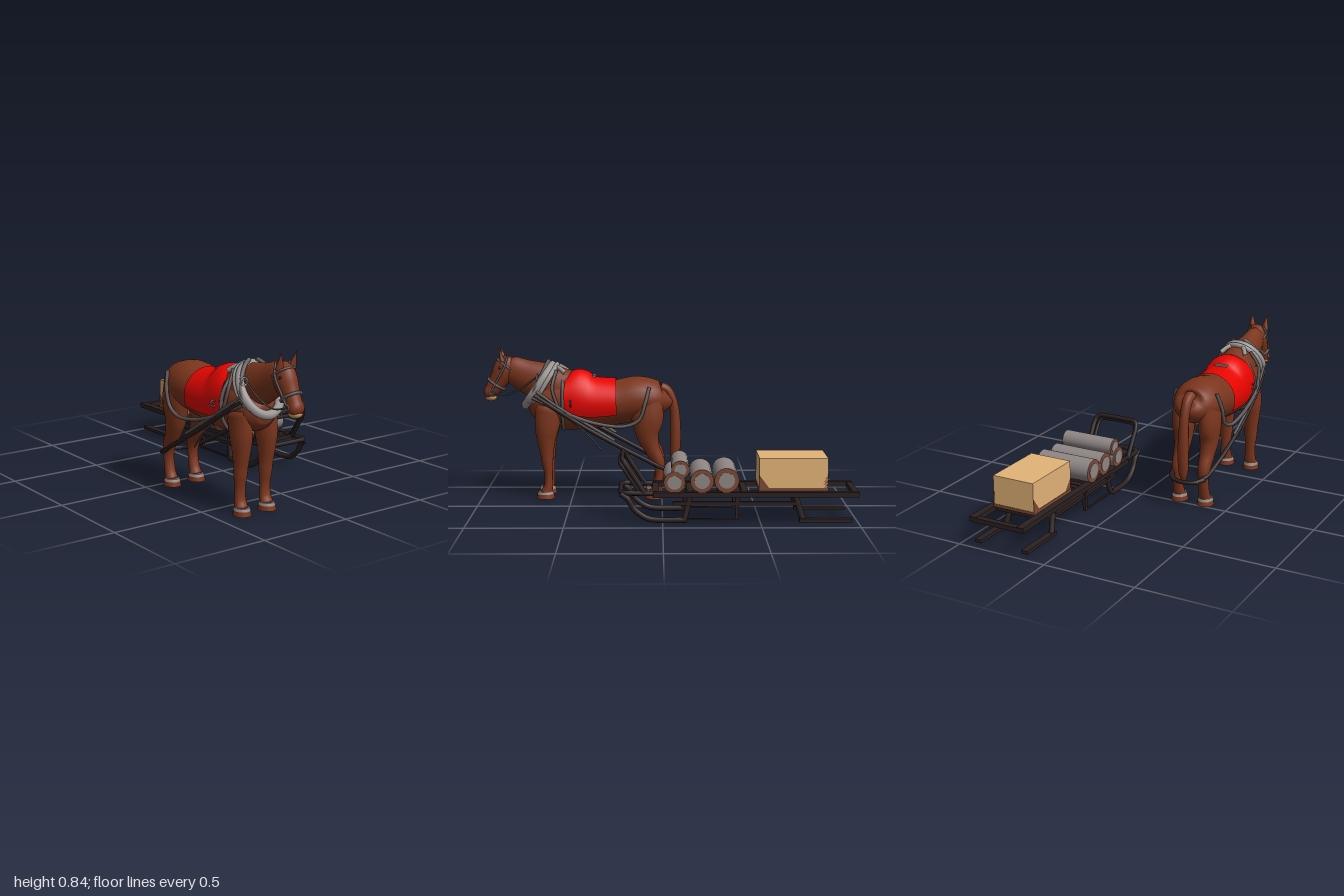
import * as THREE from 'three';

const mat = (name, color, side = THREE.FrontSide) => {
  const m = new THREE.MeshStandardMaterial({ color, side });
  m.name = name;
  return m;
};
const M = {
  coat: mat('chestnut coat', 0x7b351d),
  hoof: mat('hoof grey', 0x8a8280),
  tan: mat('pale muzzle', 0xc09058),
  red: mat('red blanket', 0xe60400, THREE.DoubleSide),
  collar: mat('collar grey', 0x9c9694),
  strap: mat('strap grey', 0x605857),
  dark: mat('dark wood', 0x2b2020),
  log: mat('log grey', 0x8f8786),
  rust: mat('rusty brown', 0x7d4a38),
  crate: mat('crate tan', 0xe4b478),
};

function add(parent, name, geo, material, x = 0, y = 0, z = 0) {
  const m = new THREE.Mesh(geo, material);
  m.name = name;
  m.position.set(x, y, z);
  parent.add(m);
  return m;
}

const box = (p, name, material, w, h, d, x, y, z) =>
  add(p, name, new THREE.BoxGeometry(w, h, d), material, x, y, z);

function tube(p, name, material, pts, r, closed = false, sides = 8) {
  const c = new THREE.CatmullRomCurve3(pts.map(a => new THREE.Vector3(...a)), closed, 'centripetal');
  return add(p, name, new THREE.TubeGeometry(c, pts.length * 6, r, sides, closed), material);
}

// Elliptical loop around the body: dy, dz is one half axis, w the other along x
function ring(p, name, material, y, z, dy, dz, w, r) {
  const pts = [];
  for (let i = 0; i < 12; i++) {
    const a = i / 12 * Math.PI * 2, c = Math.cos(a);
    pts.push([Math.sin(a) * w, y + dy * c, z + dz * c]);
  }
  return tube(p, name, material, pts, r, true);
}

// Smooth loft; stations are [y, z, half depth, half width]; an arc gives an open sheet
function loft(st, x = 0, arc = null, seg = 24) {
  const path = new THREE.CatmullRomCurve3(st.map(s => new THREE.Vector3(x, s[0], s[1])), false, 'catmullrom', 0.5);
  const size = new THREE.CatmullRomCurve3(st.map(s => new THREE.Vector3(s[2], s[3], 0)), false, 'catmullrom', 0.5);
  const n = (st.length - 1) * 4, cols = arc ? seg + 1 : seg, pos = [], idx = [];
  const [t0, t1] = arc || [0, Math.PI * 2];
  for (let i = 0; i <= n; i++) {
    const c = path.getPoint(i / n), s = size.getPoint(i / n), t = path.getTangent(i / n);
    for (let j = 0; j < cols; j++) {
      const a = t0 + (t1 - t0) * j / seg, u = Math.sin(a) * s.x;
      pos.push(c.x + Math.cos(a) * s.y, c.y - t.z * u, c.z + t.y * u);
    }
  }
  for (let i = 0; i < n; i++) for (let j = 0; j < seg; j++) {
    const k = (j + 1) % cols, a = i * cols, b = a + cols;
    idx.push(a + j, b + j, a + k, a + k, b + j, b + k);
  }
  if (!arc) {
    const first = pos.length / 3, e = n * cols;
    for (const t of [0, 1]) pos.push(...path.getPoint(t).toArray());
    for (let j = 0; j < seg; j++) {
      const k = (j + 1) % seg;
      idx.push(first, j, k, first + 1, e + k, e + j);
    }
  }
  const g = new THREE.BufferGeometry();
  g.setAttribute('position', new THREE.Float32BufferAttribute(pos, 3));
  g.setIndex(idx);
  g.computeVertexNormals();
  return g;
}

function ellipsoid(p, name, material, x, y, z, rx, ry, rz) {
  return add(p, name, new THREE.SphereGeometry(1, 16, 12), material, x, y, z).scale.set(rx, ry, rz);
}

function buildHorse() {
  const g = new THREE.Group();
  g.name = 'horse';
  add(g, 'body', loft([
    [.58, -.03, .03, .04], [.565, -.01, .08, .085], [.555, .05, .108, .122], [.55, .14, .125, .136],
    [.53, .25, .125, .133], [.52, .4, .14, .13], [.53, .52, .155, .124], [.53, .62, .128, .118],
    [.515, .69, .1, .1], [.51, .735, .045, .055]]), M.coat);
  add(g, 'neck', loft([[.58, .55, .14, .108], [.635, .65, .115, .085], [.68, .76, .09, .062],
    [.72, .84, .072, .048], [.745, .875, .045, .035]]), M.coat);
  add(g, 'head', loft([[.785, .845, .02, .028], [.75, .858, .056, .048], [.70, .877, .064, .055],
    [.65, .907, .052, .047], [.605, .938, .042, .04], [.578, .957, .037, .042], [.558, .968, .02, .028]]), M.coat);
  ellipsoid(g, 'muzzle', M.tan, 0, .558, .95, .036, .022, .034);
  ellipsoid(g, 'chestPatch', M.tan, 0, .392, .6, .02, .028, .03);
  ellipsoid(g, 'bellyPatch', M.tan, 0, .428, .13, .03, .012, .05);
  add(g, 'tail', loft([[.615, .01, .03, .03], [.59, -.035, .026, .027], [.5, -.068, .026, .025],
    [.35, -.076, .03, .03], [.22, -.072, .026, .027], [.15, -.07, .008, .01]], 0, null, 12), M.coat);

  for (const s of [-1, 1]) {
    // Legs, hooves, ears and eyes
    add(g, 'frontLeg', loft([[.52, .62, .08, .045], [.4, .635, .068, .052], [.33, .64, .052, .046],
      [.25, .637, .037, .038], [.2, .635, .031, .036], [.13, .63, .023, .029], [.07, .632, .025, .032],
      [.03, .643, .034, .037]], s * .077, null, 14), M.coat);
    add(g, 'hindLeg', loft([[.56, .09, .09, .045], [.45, .08, .09, .056], [.36, .08, .065, .05],
      [.28, .055, .045, .04], [.21, .02, .036, .034], [.14, .014, .025, .029], [.07, .026, .026, .031],
      [.03, .04, .033, .036]], s * .077, null, 14), M.coat);
    for (const z of [.647, .044]) {
      add(g, 'hoof', new THREE.CylinderGeometry(.041, .046, .026, 16), [M.coat, M.hoof, M.hoof], s * .077, .013, z).scale.z = 1.12;
      add(g, 'hoofBand', new THREE.CylinderGeometry(.036, .042, .014, 16), M.hoof, s * .077, .032, z).scale.z = 1.12;
    }
    const ear = add(g, 'ear', new THREE.ConeGeometry(.024, .085, 10), M.coat, s * .042, .803, .888);
    ear.scale.z = .65;
    ear.rotation.set(.25, 0, -s * .1);
    ellipsoid(g, 'eye', M.dark, s * .048, .725, .893, .006, .009, .009);

    // Bridle and reins
    tube(g, 'cheekStrap', M.strap, [[s * .04, .79, .85], [s * .058, .73, .868], [s * .055, .67, .9], [s * .047, .6, .94]], .006);
    tube(g, 'rein', M.strap, [[s * .045, .59, .945], [s * .068, .575, .87], [s * .082, .61, .78],
      [s * .088, .67, .7], [s * .07, .72, .62]], .004);
    add(g, 'bitRing', new THREE.TorusGeometry(.014, .004, 6, 14), M.collar, s * .046, .592, .94).rotation.y = Math.PI / 2;

    // Collar fittings, traces and breeching
    tube(g, 'hame', M.strap, [[s * .02, .765, .625], [s * .06, .735, .64], [s * .118, .63, .69], [s * .09, .54, .735]], .011);
    add(g, 'hameRing', new THREE.TorusGeometry(.02, .005, 6, 14), M.collar, s * .096, .675, .685);
    add(g, 'traceRing', new THREE.TorusGeometry(.016, .005, 6, 14), M.strap, s * .142, .54, .5);
    tube(g, 'trace', M.dark, [[s * .118, .58, .7], [s * .138, .5, .57], [s * .141, .4, .41], [s * .137, .31, .25],
      [s * .122, .23, .1], [s * .1, .175, 0], [s * .07, .155, -.06]], .012);
    tube(g, 'traceLining', M.strap, [[s * .12, .605, .69], [s * .137, .525, .575], [s * .143, .425, .41], [s * .139, .335, .26]], .008);
    tube(g, 'sideStrap', M.strap, [[s * .12, .57, .71], [s * .14, .475, .5], [s * .144, .425, .34],
      [s * .145, .415, .2], [s * .143, .45, .125], [s * .142, .53, .095], [s * .118, .625, .07]], .01);
    tube(g, 'shoulderStrap', M.strap, [[s * .08, .715, .58], [s * .128, .62, .6], [s * .135, .52, .57]], .009);
    tube(g, 'withersStrap', M.collar, [[s * .02, .735, .6], [s * .05, .725, .565], [s * .075, .7, .53]], .013);
    tube(g, 'hangingStrap', M.strap, [[s * .142, .45, .5], [s * .14, .36, .4], [s * .135, .28, .33]], .004);
  }
  ring(g, 'noseband', M.strap, .632, .918, -.029, -.043, .05, .008);
  ring(g, 'browband', M.strap, .738, .862, -.033, -.047, .055, .006);
  ring(g, 'collar', M.collar, .625, .683, .112, -.075, .106, .024);
  ring(g, 'collarRim', M.collar, .625, .65, .115, -.07, .112, .014);
  ring(g, 'girth', M.strap, .532, .545, .157, 0, .13, .009);
  tube(g, 'singletree', M.dark, [[-.1, .165, -.02], [-.06, .156, -.065], [0, .154, -.08], [.06, .156, -.065], [.1, .165, -.02]], .012);

  // Blanket draped over the back, with a small plate on top
  add(g, 'blanket', loft([[.53, .25, .134, .142], [.526, .39, .15, .14], [.545, .475, .172, .136],
    [.555, .545, .14, .13]], 0, [-Math.PI - .45, .45]), M.red);
  box(g, 'blanketPlate', M.collar, .075, .008, .018, 0, .677, .375);
  g.position.x = -.285;
  return g;
}

function buildSled() {
  const g = new THREE.Group();
  g.name = 'sled';
  // Deck frame
  for (const s of [-1, 1]) {
    box(g, 'sideRail', M.dark, .04, .026, 1.05, s * .138, .153, -.475);
    box(g, 'lowerStringer', M.dark, .022, .018, .63, s * .13, .105, -.365);
    // Runners sweep up at the front
    tube(g, 'frontRunner', M.dark, [[s * .13, .155, .215], [s * .131, .13, .18], [s * .134, .075, .145],
      [s * .138, .03, .08], [s * .138, .02, .02], [s * .138, .02, -.12]], .015);
    tube(g, 'frontLeg', M.dark, [[s * .125, .145, -.14], [s * .13, .08, -.125], [s * .138, .02, -.11]], .015);
    tube(g, 'rearLeg', M.dark, [[s * .125, .145, -.675], [s * .13, .08, -.695], [s * .138, .02, -.715]], .016);
    box(g, 'rearRunner', M.dark, .036, .018, .27, s * .138, .02, -.83);
    box(g, 'middlePost', M.dark, .018, .13, .018, s * .135, .085, -.38);
    box(g, 'runnerRod', M.dark, .01, .008, .27, s * .138, .026, -.245);
  }
  for (const z of [.035, -.06, -.14, -.22, -.3, -.38, -.42, -.985])
    box(g, 'crossbeam', M.dark, .3, .024, .032, 0, .151, z);
  box(g, 'cratePlank', M.dark, .25, .016, .33, 0, .15, -.665);
  box(g, 'frontCrossbar', M.dark, .25, .02, .02, 0, .16, .11);

  // Slanted double front hoop and the flat hoop below it
  const hoop = (name, y0, z0, y1, z1, w, r) => {
    const half = [[w, 0], [w, .5], [w, .8], [w * .95, .92], [w * .83, .99], [w * .6, 1]];
    const at = (x, t) => [x, y0 + (y1 - y0) * t, z0 + (z1 - z0) * t];
    tube(g, name, M.dark, [...half.map(([x, t]) => at(-x, t)), ...half.reverse().map(([x, t]) => at(x, t))], r);
  };
  hoop('frontHoop', .155, .09, .334, .205, .132, .013);
  hoop('innerHoop', .155, .115, .313, .218, .117, .01);
  hoop('stepHoop', .155, .03, .16, .214, .132, .013);

  // Logs: y, z, radius, length
  for (const [y, z, r, len] of [[.217, -.06, .055, .31], [.282, -.09, .046, .3], [.224, -.2, .06, .31], [.228, -.325, .063, .315]]) {
    const log = add(g, 'log', new THREE.CylinderGeometry(r, r, len, 24), [M.log, M.rust, M.rust], 0, y, z);
    log.rotation.z = Math.PI / 2;
    for (const s of [-1, 1]) {
      const core = add(g, 'logCore', new THREE.CylinderGeometry(r * .65, r * .65, .004, 20), M.log, s * (len / 2 + .001), y, z);
      core.rotation.z = Math.PI / 2;
    }
  }
  // Crate with its stained foot and corners
  box(g, 'crate', M.crate, .235, .168, .35, 0, .251, -.667);
  box(g, 'crateFoot', M.rust, .24, .016, .355, 0, .174, -.667);
  const corner = new THREE.Shape([[0, 0], [.06, 0], [0, .08]].map(p => new THREE.Vector2(...p)));
  for (const s of [-1, 1]) for (const e of [0, 1]) {
    const plate = add(g, 'crateCorner', new THREE.ExtrudeGeometry(corner, { depth: .238, bevelEnabled: false }),
      M.rust, e ? -.119 : .119, .17, e ? -.843 : -.491);
    // Only a thin skin shows on each long side
    plate.scale.z = .012;
    plate.position.x = s * .1175;
    plate.rotation.y = e ? -Math.PI / 2 : Math.PI / 2;
  }
  g.position.x = .273;
  return g;
}

export function createModel() {
  const root = new THREE.Group();
  root.name = 'horseAndSled';
  root.add(buildHorse(), buildSled());
  return root;
}
